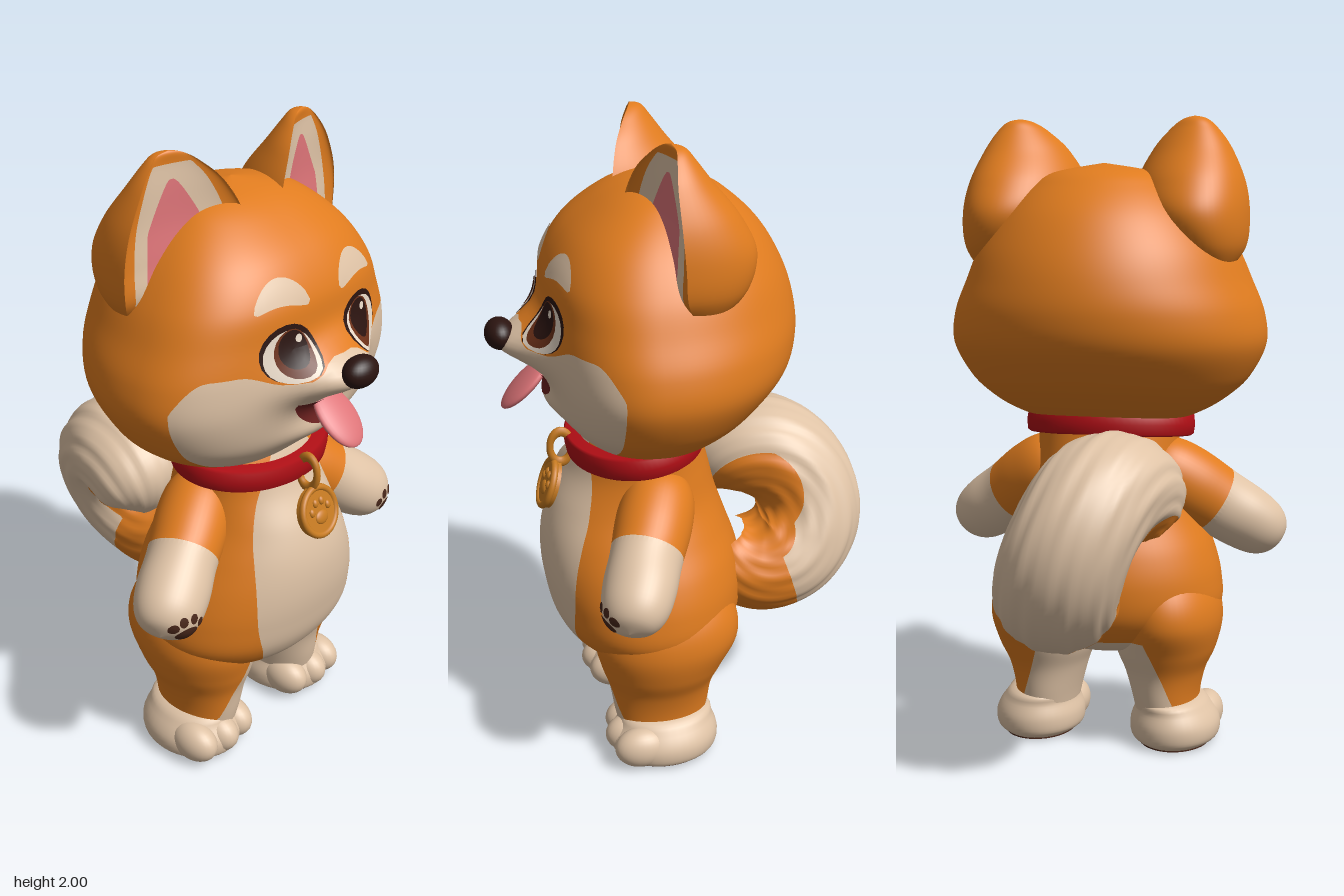
import * as THREE from 'three';

const mat = (name, color) => Object.assign(new THREE.MeshStandardMaterial({ color }), { name });
const orange = mat('orange fur', 0xe07c1f);
const cream = mat('cream fur', 0xdfc3a6);
const red = mat('red collar', 0xb00e15);
const pink = mat('pink', 0xdd7478);
const dark = mat('dark brown', 0x2b1410);
const padBrown = mat('pad brown', 0x4a281b);
const brown = mat('iris brown', 0x6b3018);
const gold = mat('gold', 0xc67a20);
const maroon = mat('mouth maroon', 0x6e2220);
const white = mat('eye white', 0xe8d9c8);
const { smoothstep, clamp } = THREE.MathUtils;
const { min, max, abs } = Math;

// Closed tube of rings in a base colour. Each layer [material, field] recolours the
// surface where field(x, y, z, sin, cos, v) > 0, cutting triangles along its border.
function rings(name, nu, nv, point, base, layers = []) {
  const verts = [];
  let tris = [];
  for (let j = 0; j <= nv; j++) for (let i = 0; i < nu; i++) {
    const a = i / nu * Math.PI * 2, s = Math.sin(a), c = Math.cos(a);
    verts.push([...point(s, c, j / nv), s, c, j / nv]);
    if (j === nv) continue;
    const p = j * nu + i, q = j * nu + (i + 1) % nu;
    tris.push([p, q, q + nu, 0], [p, q + nu, p + nu, 0]);
  }
  layers.forEach(([, field], k) => {
    const f = verts.map(v => field(...v)), cuts = new Map(), out = [];
    const cut = (a, b) => {
      const key = min(a, b) + '_' + max(a, b), t = f[a] / (f[a] - f[b]);
      if (!cuts.has(key)) cuts.set(key, verts.push(verts[a].map((q, n) => q + t * (verts[b][n] - q))) - 1);
      return cuts.get(key);
    };
    for (const [p, q, r, m] of tris) {
      const inside = [p, q, r].map(n => f[n] > 0), count = inside.filter(Boolean).length;
      if (count % 3 === 0) { out.push([p, q, r, count ? k + 1 : m]); continue; }
      const lone = inside.indexOf(count === 1), [a, b, c] = [0, 1, 2].map(n => [p, q, r][(lone + n) % 3]);
      const ab = cut(a, b), ac = cut(a, c), [ma, mb] = count === 1 ? [k + 1, m] : [m, k + 1];
      out.push([a, ab, ac, ma], [ab, b, c, mb], [ab, c, ac, mb]);
    }
    tris = out;
  });
  const mats = [base, ...layers.map(l => l[0])], index = [];
  const geo = new THREE.BufferGeometry();
  mats.forEach((_, k) => {
    const start = index.length;
    for (const t of tris) if (t[3] === k) index.push(t[0], t[1], t[2]);
    if (index.length > start) geo.addGroup(start, index.length - start, k);
  });
  geo.setAttribute('position', new THREE.Float32BufferAttribute(verts.flatMap(v => v.slice(0, 3)), 3));
  geo.setIndex(index);
  geo.computeVertexNormals();
  return part(name, geo, mats);
}

// Smooth interpolation through a short table of rows
function sample(rows, v) {
  const n = rows.length - 1, i = min(Math.floor(v * n), n - 1), t = v * n - i;
  const [a, b, c, d] = [-1, 0, 1, 2].map(k => rows[clamp(i + k, 0, n)]);
  return b.map((q, k) => q + 0.5 * t * (c[k] - a[k] + t * (2 * a[k] - 5 * q + 4 * c[k] - d[k]
    + t * (3 * (q - c[k]) + d[k] - a[k]))));
}

// Stacked sections: rows of [y, centre x, half width, centre z, depth back, depth front]
function loft(name, rows, base, layers, { nu = 40, nv = 40, power = 2, shear = 0, bump = () => 0 } = {}) {
  return rings(name, nu, nv, (s, c, v) => {
    const [y, cx, w, zc, back, front] = sample(rows, v);
    if (c > 0) {
      s = Math.sign(s) * abs(s) ** (2 / power);
      c = c ** (2 / power);
    }
    const x = cx + w * s;
    return [x, y, zc + (c > 0 ? front * c + bump(x, y) * min(1, c * 2) : back * c) + shear * w * s];
  }, base, layers);
}

function part(name, geo, material, p = [0, 0, 0], s = [1, 1, 1], r = [0, 0, 0]) {
  const m = new THREE.Mesh(geo, material);
  m.name = name;
  m.position.set(...p);
  m.scale.set(...s);
  m.rotation.set(...r);
  return m;
}
const ball = (name, material, p, s, r) => part(name, new THREE.SphereGeometry(1, 28, 18), material, p, s, r);

// Thin painted plate laid onto the front of a mesh
function drape(name, target, material, lift, map, nu = 20, nv = 4) {
  const geo = new THREE.PlaneGeometry(1, 1, nu, nv), p = geo.attributes.position, uv = geo.attributes.uv;
  const ray = new THREE.Raycaster(), ahead = new THREE.Vector3(0, 0, -1);
  target.updateMatrixWorld(true);
  let z = 0.3;
  for (let i = 0; i < p.count; i++) {
    const [x, y] = map(uv.getX(i), uv.getY(i));
    ray.set(new THREE.Vector3(x, y, 2), ahead);
    const hit = ray.intersectObject(target)[0];
    if (hit) z = hit.point.z;
    p.setXYZ(i, x, y, z + lift);
  }
  geo.computeVertexNormals();
  return part(name, geo, material);
}
const oval = (cx, cy, rx, ry) => (u, v) =>
  [cx + rx * v * Math.cos(u * Math.PI * 2), cy - ry * v * Math.sin(u * Math.PI * 2)];
const bell = (d, width) => Math.exp(-((d / width) ** 2));

// Positive inside the cream belly
const belly = (x, y, z) => min(z - 0.13, 0.23 - (y > 0.6 ? 0.65 : 1.5) * (y - 0.6) ** 2 - abs(x));

function makeHead() {
  const g = new THREE.Group();
  g.name = 'head';
  // skull with muzzle and chin swelling out of the face
  const skull = loft('skull', [
    [1.045, 0, 0, 0.12, 0, 0], [1.06, 0, 0.22, 0.12, 0.12, 0.16], [1.09, 0, 0.315, 0.12, 0.2, 0.21],
    [1.14, 0, 0.395, 0.13, 0.29, 0.245], [1.2, 0, 0.455, 0.14, 0.37, 0.265], [1.3, 0, 0.503, 0.14, 0.45, 0.285],
    [1.4, 0, 0.495, 0.14, 0.475, 0.29], [1.5, 0, 0.455, 0.14, 0.465, 0.285], [1.6, 0, 0.41, 0.13, 0.42, 0.285],
    [1.7, 0, 0.34, 0.12, 0.35, 0.24], [1.78, 0, 0.255, 0.1, 0.25, 0.17], [1.83, 0, 0.165, 0.08, 0.15, 0.1],
    [1.86, 0, 0, 0.07, 0, 0]], orange, [[cream, (x, y, z) => {
    const ax = abs(x);
    const line = 1.39 + 0.045 * smoothstep(ax, 0.18, 0.32) + 0.05 * (1 - smoothstep(ax, 0.04, 0.14))
      - 12 * max(0, ax - 0.39) ** 2;
    return min(z - 0.265, line - y);
  }]], {
    nu: 128, nv: 84, power: 2.4,
    bump: (x, y) => 0.138 * bell(x, 0.15) * bell(y - 1.375, y > 1.375 ? 0.075 : 0.066) + 0.03 * bell(x, 0.12) * bell(y - 1.18, 0.045)
  });
  g.add(skull);

  // mouth, tongue and nose
  g.add(drape('mouth', skull, maroon, 0.005, (u, v) => {
    const q = u * 2 - 1, top = 1.292 + 0.018 * q * q, bottom = 1.2 + 0.095 * q * q;
    return [q * 0.14, bottom + (top - bottom) * v];
  }, 20, 8));
  g.add(ball('tongue', pink, [0, 1.235, 0.485], [0.073, 0.103, 0.022], [-0.8, 0, 0]));
  g.add(ball('nose', dark, [0, 1.4, 0.553], [0.065, 0.047, 0.045]));

  for (const s of [1, -1]) {
    // eyes and brows
    g.add(drape('lash', skull, dark, 0.003, oval(s * 0.162, 1.473, 0.096, 0.08)));
    g.add(drape('eyeWhite', skull, white, 0.005, oval(s * 0.163, 1.465, 0.086, 0.072)));
    g.add(drape('iris', skull, brown, 0.0065, oval(s * 0.152, 1.472, 0.062, 0.067)));
    g.add(drape('pupil', skull, dark, 0.008, oval(s * 0.15, 1.483, 0.05, 0.053)));
    g.add(drape('eyeGlint', skull, white, 0.0095, oval(s * 0.148 + 0.022, 1.508, 0.012, 0.012), 12, 1));
    g.add(drape('brow', skull, cream, 0.005, (u, v) => {
      const q = (u - 0.5) * 2 * s;
      const half = 0.035 * Math.sqrt(max(0, 1 - q * q)) * (1 - 0.25 * q);
      return [s * 0.16 + (u - 0.5) * 0.19, 1.6 + 0.04 * (1 - q * q) + (v - 0.5) * 2 * half];
    }));
    // ears: broad rounded back, hollow front with a cream rim
    g.add(loft('ear', [
      [1.52, s * 0.35, 0.04, 0.05, 0.07, 0], [1.6, s * 0.305, 0.14, 0.12, 0.225, 0],
      [1.7, s * 0.272, 0.183, 0.14, 0.275, -0.02], [1.8, s * 0.262, 0.178, 0.145, 0.235, -0.035],
      [1.9, s * 0.267, 0.13, 0.135, 0.145, -0.03], [1.96, s * 0.275, 0.08, 0.115, 0.08, -0.015],
      [1.99, s * 0.28, 0.04, 0.1, 0.04, 0], [2.0, s * 0.28, 0, 0.095, 0, 0]], orange, [
      [cream, (x, y, z, sn, c) => min(c, 0.78 - abs(sn), (1.965 - y) * 8)],
      [pink, (x, y, z, sn, c) => min(c, 0.5 * Math.sqrt(clamp((1.925 - y) / 0.14, 0, 1)) - 0.005 - abs(sn - s * 0.05))]
    ], { nu: 60, nv: 56, shear: -0.25 * s }));
  }
  return g;
}

function makeArm(s) {
  const g = new THREE.Group();
  g.name = s > 0 ? 'leftArm' : 'rightArm';
  const arm = loft('arm', [
    [-0.07, 0, 0, 0, 0, 0], [-0.04, 0, 0.07, 0, 0.07, 0.07], [0.02, 0, 0.11, 0, 0.105, 0.105],
    [0.12, 0, 0.12, 0, 0.115, 0.115], [0.24, 0, 0.112, 0, 0.108, 0.108], [0.34, 0, 0.106, 0, 0.112, 0.112],
    [0.42, 0, 0.092, 0, 0.1, 0.1], [0.468, 0, 0.058, 0, 0.065, 0.065], [0.487, 0, 0, 0, 0, 0]],
  orange, [[cream, (x, y) => y - 0.22]], { nu: 48 });
  arm.position.set(s * 0.17, 0.91, 0.105);
  arm.quaternion.setFromUnitVectors(new THREE.Vector3(0, 1, 0),
    new THREE.Vector3(s * 0.385, -0.27, 0.185).normalize());
  g.add(arm);
  // paw pads
  const pads = [[0.485, 0.66, 0.034, 0.025], [0.528, 0.69, 0.013, 0.017], [0.502, 0.708, 0.013, 0.017],
    [0.468, 0.708, 0.013, 0.017], [0.442, 0.685, 0.013, 0.016]];
  for (const [x, y, rx, ry] of pads) g.add(drape('pawPad', arm, padBrown, 0.004, oval(s * x, y, rx, ry), 16, 3));
  return g;
}

function makeLeg(s) {
  const g = new THREE.Group();
  g.name = s > 0 ? 'leftLeg' : 'rightLeg';
  g.add(loft('leg', [
    [0.06, s * 0.21, 0.1, 0.12, 0.14, 0.13], [0.15, s * 0.2, 0.108, 0.12, 0.155, 0.15],
    [0.24, s * 0.197, 0.13, 0.115, 0.165, 0.17], [0.32, s * 0.2, 0.162, 0.11, 0.195, 0.2],
    [0.42, s * 0.212, 0.17, 0.11, 0.24, 0.22], [0.52, s * 0.205, 0.155, 0.11, 0.225, 0.2],
    [0.62, s * 0.19, 0.1, 0.11, 0.15, 0.13], [0.68, s * 0.18, 0, 0.11, 0, 0]], orange, [[cream, (x, y, z) => max(
    0.135 - y, min(0.37 - y, 0.17 + (0.37 - y) * 0.35 - abs(x)), belly(x, y, z))]], { nu: 56, nv: 50 }));
  g.add(loft('foot', [
    [0.003, s * 0.23, 0.115, 0.12, 0.15, 0.14], [0.025, s * 0.23, 0.142, 0.12, 0.175, 0.165],
    [0.07, s * 0.23, 0.145, 0.12, 0.18, 0.17], [0.115, s * 0.225, 0.125, 0.12, 0.165, 0.145],
    [0.15, s * 0.21, 0.1, 0.12, 0.145, 0.12], [0.17, s * 0.2, 0, 0.12, 0, 0]], cream, [], { nv: 24 }));
  for (const k of [-1, 0, 1])
    g.add(ball('toe', cream, [s * 0.23 + k * 0.085, 0.07, 0.22 - abs(k) * 0.015], [0.058, 0.067, 0.088]));
  g.add(part('sole', new THREE.CylinderGeometry(1, 1, 0.005, 40), padBrown, [s * 0.23, 0.0025, 0.115], [0.116, 1, 0.147]));
  return g;
}

function makeTail() {
  // path rows: [curl radius, tube radius, x]
  const rows = [[0.168, 0.1, 0.05], [0.172, 0.15, 0.05], [0.17, 0.17, 0.04], [0.168, 0.177, 0],
    [0.166, 0.176, -0.06], [0.165, 0.176, -0.11], [0.15, 0.14, -0.145], [0.1, 0, -0.16]];
  return rings('tail', 84, 84, (s, c, v) => {
    const [R, r, x] = sample(rows, v), a = Math.atan2(s, c), phi = 0.3 + v * 6.1;
    const fur = r * (1 + 0.012 * Math.sin(13 * a + 5 * Math.sin(6 * v)) + 0.008 * Math.sin(23 * a - 14 * v));
    const d = max(0.012, R + fur * c);
    return [x - fur * 1.12 * s, 0.725 - d * Math.sin(phi), -0.255 + d * Math.cos(phi)];
  }, orange, [[cream, (x, y, z, s, c, v) =>
    min((v - 0.26) * 4, c - (s < 0 ? -0.5 + clamp((v - 0.48) * 4, 0, 0.9) * -s : -0.4))]]);
}

function makeCollar() {
  const g = new THREE.Group();
  g.name = 'collar';
  const profile = [[0.2, -0.036], [0.264, -0.036], [0.273, -0.03], [0.277, 0], [0.273, 0.03], [0.264, 0.036], [0.2, 0.036]]
    .map(p => new THREE.Vector2(...p));
  g.add(part('band', new THREE.LatheGeometry(profile, 72), red, [0, 1.036, 0.155], [1, 1, 0.78], [0.09, 0, 0]));
  g.add(part('hangingRing', new THREE.TorusGeometry(0.034, 0.011, 12, 32), gold, [0, 1.01, 0.385], [1, 1.5, 1], [0, Math.PI / 2, 0]));
  // medal with a raised paw
  const medal = new THREE.Group();
  medal.name = 'medal';
  medal.position.set(0, 0.89, 0.425);
  medal.rotation.x = -0.35;
  medal.add(part('disc', new THREE.CylinderGeometry(0.078, 0.078, 0.026, 40), gold, [0, 0, 0], [1, 1, 1], [Math.PI / 2, 0, 0]));
  medal.add(part('rim', new THREE.TorusGeometry(0.073, 0.011, 12, 40), gold, [0, 0, 0.008]));
  medal.add(ball('pawRelief', gold, [0, -0.018, 0.012], [0.028, 0.022, 0.01]));
  for (const [x, y] of [[-0.037, 0.008], [-0.014, 0.03], [0.014, 0.03], [0.037, 0.008]])
    medal.add(ball('toeRelief', gold, [x, y, 0.012], [0.011, 0.014, 0.009]));
  g.add(medal);
  return g;
}

export function createModel() {
  const model = new THREE.Group();
  model.name = 'puppy';
  model.add(loft('torso', [
    [0.3, 0, 0, 0.1, 0, 0], [0.32, 0, 0.16, 0.1, 0.13, 0.15], [0.37, 0, 0.3, 0.12, 0.23, 0.245],
    [0.45, 0, 0.37, 0.13, 0.3, 0.295], [0.55, 0, 0.37, 0.13, 0.315, 0.32], [0.65, 0, 0.342, 0.13, 0.3, 0.33],
    [0.75, 0, 0.295, 0.14, 0.275, 0.312], [0.85, 0, 0.25, 0.14, 0.24, 0.28], [0.95, 0, 0.23, 0.13, 0.205, 0.235],
    [1.05, 0, 0.225, 0.13, 0.18, 0.2], [1.12, 0, 0.2, 0.12, 0.16, 0.18]], orange, [[cream, (x, y, z) =>
    max(belly(x, y, z), min(0.37 - y, 0.18 - abs(x)))]], { nu: 84, nv: 70, power: 2.15 }));
  model.add(makeHead(), makeCollar(), makeTail());
  for (const s of [1, -1]) model.add(makeArm(s), makeLeg(s));
  return model;
}
